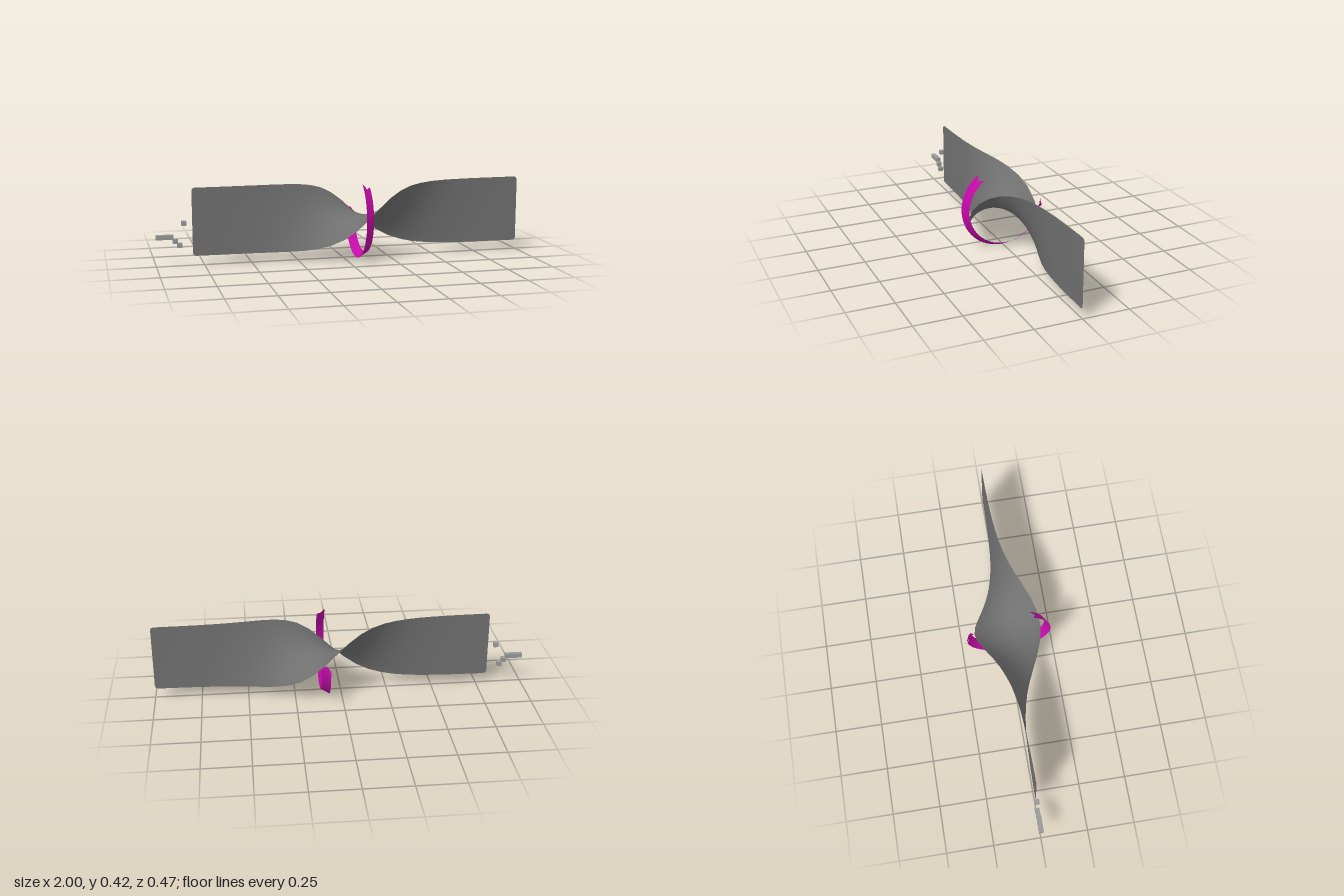
import * as THREE from 'three';

const AXIS_Y = 0.232, AXIS_Z = 0.003;

// Smooth open surface from point(u, v), with u and v running 0..1
function sheet(name, material, rows, cols, point) {
  const positions = [], index = [];
  for (let i = 0; i <= rows; i++) {
    for (let j = 0; j <= cols; j++) positions.push(...point(i / rows, j / cols));
  }
  for (let i = 0; i < rows; i++) {
    for (let j = 0; j < cols; j++) {
      const a = i * (cols + 1) + j, b = a + cols + 1;
      index.push(a, b, a + 1, b, b + 1, a + 1);
    }
  }
  const geometry = new THREE.BufferGeometry();
  geometry.setAttribute('position', new THREE.Float32BufferAttribute(positions, 3));
  geometry.setIndex(index);
  geometry.computeVertexNormals();
  const mesh = new THREE.Mesh(geometry, material);
  mesh.name = name;
  return mesh;
}

export function createModel() {
  const model = new THREE.Group();
  model.name = 'twistedStripWithArrow';

  const make = (name, color) => {
    const m = new THREE.MeshStandardMaterial({ color, side: THREE.DoubleSide });
    m.name = name;
    return m;
  };
  const grey = make('stripGrey', 0x707070);
  const magenta = make('arrowMagenta', 0xc20aa6);
  const paleGrey = make('blockGrey', 0x999999);

  // Strip: half a turn about the x axis, concentrated at the middle
  const centreX = 0.095, halfLength = 0.905, halfWidth = 0.18, corner = 0.016;
  const steps = 28;
  const stations = [-halfLength, -halfLength + 0.004, -halfLength + corner];
  for (let i = 1; i < steps; i++) stations.push(halfLength * (2 * i / steps - 1));
  stations.push(halfLength - corner, halfLength - 0.004, halfLength);
  const last = stations.length - 1;
  model.add(sheet('twistedStrip', grey, last, 12, (u, v) => {
    const t = stations[Math.round(u * last)];
    const turn = (Math.PI / 2) * Math.tanh(3.4 * t);
    // rounded corners at both ends
    const inset = Math.max(0, corner - (halfLength - Math.abs(t)));
    const width = halfWidth - corner + Math.sqrt(Math.max(0, corner * corner - inset * inset));
    const w = (2 * v - 1) * width;
    return [centreX + t, AXIS_Y - w * Math.sin(turn), AXIS_Z - w * Math.cos(turn)];
  }));

  // Curved arrow: a conical band round the strip, wider towards -x
  const arrow = new THREE.Group();
  arrow.name = 'rotationArrow';
  const bandPoint = (degrees, side, radius, half) => {
    const a = THREE.MathUtils.degToRad(degrees);
    const r = radius + side * half;
    return [0.0925 - side * 0.0225 * Math.min(1, half / 0.0135),
      AXIS_Y + r * Math.sin(a), AXIS_Z - r * Math.cos(a)];
  };
  // shaft with a notched tail
  arrow.add(sheet('arrowShaft', magenta, 64, 2, (u, v) => {
    const side = 2 * v - 1;
    const start = 126 + 6.7 * (1 - Math.abs(side));
    return bandPoint(THREE.MathUtils.lerp(start, 350, u), side, 0.2185 - 0.005 * u * u, 0.0135);
  }));
  // pointed head
  arrow.add(sheet('arrowHead', magenta, 6, 2, (u, v) =>
    bandPoint(THREE.MathUtils.lerp(349.5, 363.8, u), 2 * v - 1, 0.2135, 0.026 * (1 - 0.99 * u))));
  model.add(arrow);

  // Small blocks beside the strip's right end: x, y, length
  const blocks = [
    [-0.853, 0.227, 0.025],
    [-0.955, 0.157, 0.09],
    [-0.9, 0.135, 0.025],
    [-0.877, 0.112, 0.025],
  ];
  for (const [x, y, length] of blocks) {
    const block = new THREE.Mesh(new THREE.BoxGeometry(length, 0.024, 0.024), paleGrey);
    block.position.set(x, y, 0);
    block.name = 'markerBlock';
    model.add(block);
  }

  return model;
}
